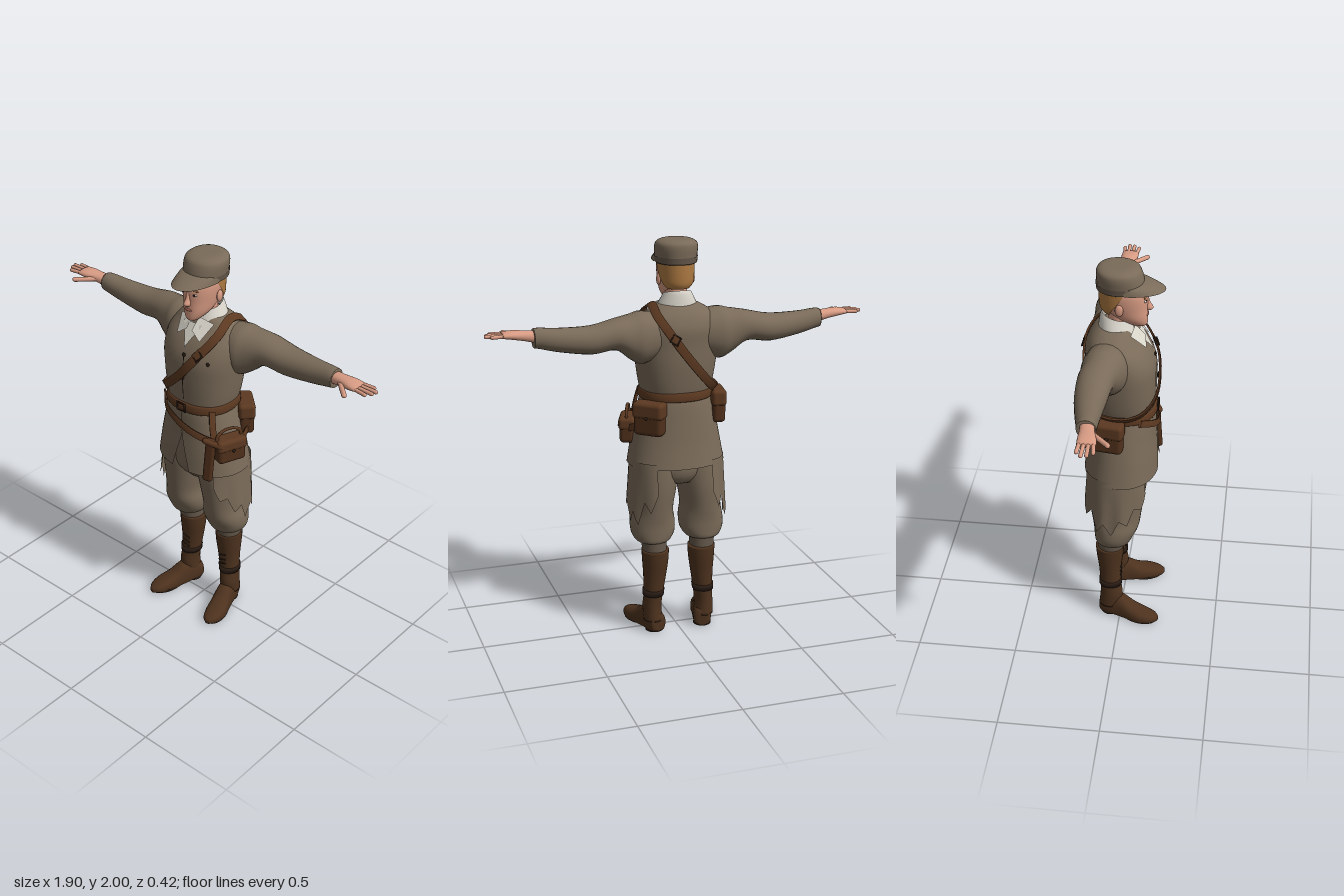
import * as THREE from 'three';
import { RoundedBoxGeometry } from 'three/addons/geometries/RoundedBoxGeometry.js';

const mat = (name, color, side = THREE.FrontSide) =>
  new THREE.MeshStandardMaterial({ name, color, side });

// Smooth loft up y. Sections are [y, x, z, rx, rz]; theta 0 faces the front.
// gap(y) gives the half angle left open at the front.
function loft(sections, { n = 2, seg = 32, sub = 4, gap = null, caps = true } = {}) {
  const rows = [], count = (sections.length - 1) * sub;
  for (let i = 0; i <= count; i++) {
    const k = Math.min(Math.floor(i / sub), sections.length - 2), t = i / sub - k;
    const s = o => sections[Math.max(0, Math.min(sections.length - 1, k + o))];
    rows.push(s(0).map((b, c) => {
      const a = s(-1)[c], d = s(1)[c], e = s(2)[c];
      return b + 0.5 * t * (d - a + t * (2 * a - 5 * b + 4 * d - e + t * (3 * (b - d) + e - a)));
    }));
  }
  const pos = [], idx = [], cols = gap ? seg + 1 : seg;
  const bend = v => Math.sign(v) * Math.abs(v) ** (2 / n);
  for (const [y, x, z, rx, rz] of rows) {
    const g = gap ? gap(y) : 0;
    for (let j = 0; j < cols; j++) {
      const a = g + (j / seg) * (2 * Math.PI - 2 * g);
      pos.push(x + rx * bend(Math.sin(a)), y, z + rz * bend(Math.cos(a)));
    }
  }
  for (let i = 0; i < count; i++) for (let j = 0; j < seg; j++) {
    const a = i * cols + j, b = i * cols + (j + 1) % cols;
    idx.push(a, b, b + cols, a, b + cols, a + cols);
  }
  if (caps && !gap) for (const end of [0, count]) {
    const [y, x, z] = rows[end], c = pos.length / 3;
    pos.push(x, y, z);
    for (let j = 0; j < seg; j++) {
      const a = end * cols + j, b = end * cols + (j + 1) % cols;
      idx.push(...(end ? [a, b, c] : [b, a, c]));
    }
  }
  return build(pos, idx);
}

function build(pos, idx) {
  const g = new THREE.BufferGeometry();
  g.setAttribute('position', new THREE.Float32BufferAttribute(pos, 3));
  g.setIndex(idx);
  g.computeVertexNormals();
  return g;
}

// Sheet from a rule f(u, v) -> [x, y, z]
function sheet(nu, nv, f) {
  const pos = [], idx = [];
  for (let i = 0; i <= nv; i++) for (let j = 0; j <= nu; j++) pos.push(...f(j / nu, i / nv));
  for (let i = 0; i < nv; i++) for (let j = 0; j < nu; j++) {
    const a = i * (nu + 1) + j, b = a + nu + 1;
    idx.push(a, a + 1, b + 1, a, b + 1, b);
  }
  return build(pos, idx);
}

// Flat leather strap along points; its outer face looks away from centre(p)
function strap(points, width, centre, closed = false, thick = 0.01) {
  const curve = new THREE.CatmullRomCurve3(points.map(p => new THREE.Vector3(...p)), closed);
  return sheet(4, 60, (u, v) => {
    const p = curve.getPointAt(v), t = curve.getTangentAt(v);
    const w = new THREE.Vector3().crossVectors(p.clone().sub(centre(p)), t).normalize();
    const out = new THREE.Vector3().crossVectors(t, w);
    const k = Math.round(u * 4) % 4;
    return p.addScaledVector(w, (k === 0 || k === 3 ? -1 : 1) * width / 2)
      .addScaledVector(out, k < 2 ? thick / 2 : -thick / 2).toArray();
  });
}

function mirrored(geo) {
  const g = geo.clone().scale(-1, 1, 1), ix = g.index.array;
  for (let i = 0; i < ix.length; i += 3) [ix[i], ix[i + 1]] = [ix[i + 1], ix[i]];
  return g;
}

// Rounded finger between two points
function finger(a, b, r) {
  const A = new THREE.Vector3(...a), B = new THREE.Vector3(...b), d = B.clone().sub(A);
  const g = new THREE.CapsuleGeometry(r, d.length(), 4, 10);
  g.applyQuaternion(new THREE.Quaternion().setFromUnitVectors(new THREE.Vector3(0, 1, 0), d.normalize()));
  return g.translate(...A.add(B).multiplyScalar(0.5).toArray());
}

export function createModel() {
  const root = new THREE.Group();
  const D = THREE.DoubleSide;
  const cloth = mat('wool cloth', 0x7a6b59, D), trim = mat('dark wool', 0x64574a, D);
  const leather = mat('strap leather', 0x5c3921, D), pouchMat = mat('pouch leather', 0x50301b);
  const bootMat = mat('boot leather', 0x4d321e), dark = mat('dark detail', 0x2b1d15);
  const linen = mat('white linen', 0xd8d4ca, D), skin = mat('skin', 0xd99c84);
  const hairMat = mat('hair', 0xae7a42, D), lipMat = mat('lips', 0xb06c5e);

  const add = (name, geo, m) => {
    const mesh = new THREE.Mesh(geo, m);
    mesh.name = name;
    root.add(mesh);
    return mesh;
  };
  const pair = (name, geo, m) => {
    add(name + 'Left', geo, m);
    add(name + 'Right', mirrored(geo), m);
  };
  const ball = (x, y, z, a, b, c) => new THREE.SphereGeometry(1, 16, 10).scale(a, b, c).translate(x, y, z);

  // Jacket body, and skirt split at the front
  add('jacket', loft([[1.23, 0, .005, .165, .15], [1.3, 0, 0, .182, .16], [1.4, 0, -.005, .197, .168],
    [1.5, 0, -.01, .207, .167], [1.58, 0, -.03, .205, .15], [1.64, 0, -.045, .175, .113],
    [1.68, 0, -.04, .12, .085], [1.7, 0, -.03, .07, .065]], { n: 2.3, seg: 40 }), cloth);
  add('jacketSkirt', loft([[1.25, 0, .005, .165, .15], [1.2, 0, .003, .18, .16], [1.1, 0, 0, .205, .166],
    [1, 0, 0, .225, .175], [.89, 0, -.004, .244, .186]].reverse(),
    { n: 2.2, seg: 44, gap: y => Math.max(.004, (1.08 - y) * 1.0) }), cloth);
  add('jacketFrontSeam', sheet(1, 8, (u, v) => [.006 + u * .005, 1.29 + v * .25,
    .162 + .009 * Math.sin(v * Math.PI) - .006 * v]), dark);
  for (const [x, y, z] of [[.006, 1.53, .154], [.006, 1.41, .167], [.13, 1.51, .126]])
    add('button', ball(x, y, z, .01, .01, .006), dark);

  // Sleeves and hands
  pair('sleeve', loft([[.08, -1.55, -.06, .1, .09], [.19, -1.54, -.065, .128, .11], [.25, -1.548, -.075, .11, .098],
    [.33, -1.57, -.09, .075, .085], [.45, -1.553, -.097, .068, .075], [.6, -1.562, -.09, .057, .058],
    [.69, -1.575, -.082, .05, .048], [.72, -1.577, -.08, .046, .045]], { n: 2.1, seg: 24 }).rotateZ(-Math.PI / 2), cloth);
  pair('palm', loft([[.69, -1.58, -.078, .03, .034], [.76, -1.59, -.07, .024, .035], [.82, -1.596, -.062, .02, .043],
    [.865, -1.597, -.06, .013, .042]], { n: 2.3, seg: 20 }).rotateZ(-Math.PI / 2), skin);
  [[-.095, .915], [-.073, .94], [-.048, .935], [-.022, .915]].forEach(([z, x], i) =>
    pair('finger' + i, finger([.85, 1.598, -.06 + (i - 1.5) * .02], [x, 1.597, z], .0095), skin));
  pair('thumb', finger([.765, 1.588, -.045], [.842, 1.588, .03], .012), skin);

  // Breeches gathered below the knee, stockings
  add('breechesHips', loft([[.8, 0, -.02, .1, .11], [.88, 0, -.012, .2, .15], [1.1, 0, 0, .18, .14]]), cloth);
  pair('breechesLeg', loft([[.485, .13, -.04, .06, .066], [.495, .13, -.037, .088, .088], [.535, .128, -.03, .11, .1],
    [.59, .127, -.02, .112, .114], [.66, .125, -.02, .1, .125], [.76, .119, -.02, .109, .138],
    [.85, .112, -.015, .114, .146], [.93, .11, -.01, .11, .148]], { n: 2.1 }), cloth);
  pair('stocking', loft([[.4, .124, -.052, .06, .064], [.52, .128, -.045, .064, .068]]), trim);

  // Torn cloth hanging over the outer thighs
  const tears = [.82, .74, .75, .66, .69, .59, .66, .6, .72, .67, .76];
  pair('tornPanel', sheet(20, 6, (u, v) => {
    const a = 1.15 - u * 2.5, k = u * 10, i = Math.min(9, Math.floor(k));
    const low = tears[i] + (tears[i + 1] - tears[i]) * (k - i);
    const r = .125 + .012 * v + .005 * Math.sin(u * 22) * v;
    return [.112 + r * Math.cos(a), .92 + (low - .92) * v, -.018 + (r + .025) * Math.sin(a)];
  }), cloth);

  // Boots with feet turned outward
  pair('bootShaft', loft([[.06, .135, -.055, .048, .055], [.13, .138, -.045, .047, .058], [.2, .132, -.05, .049, .054],
    [.3, .125, -.053, .058, .058], [.38, .122, -.054, .066, .068], [.44, .122, -.054, .069, .073]], { seg: 24 }), bootMat);
  const foot = loft([[-.055, 0, -.04, .022, .035], [-.045, 0, -.045, .042, .05], [0, 0, -.04, .046, .075],
    [.06, 0, -.035, .046, .085], [.12, .002, -.025, .051, .058], [.18, .004, -.022, .053, .04],
    [.235, 0, -.02, .038, .025], [.262, -.004, -.018, .012, .012]], { n: 2.4, seg: 24 }).rotateX(Math.PI / 2);
  const fp = foot.attributes.position;
  for (let i = 0; i < fp.count; i++) fp.setY(i, Math.max(.008, fp.getY(i)));
  foot.computeVertexNormals();
  const place = g => g.rotateY(.27).translate(.13, 0, -.05);
  pair('foot', place(foot), bootMat);
  pair('heel', place(new THREE.CylinderGeometry(.043, .045, .03, 16).translate(0, .015, -.005)), dark);
  pair('sole', place(new THREE.CylinderGeometry(1, 1, .014, 24).scale(.052, 1, .09).translate(.002, .008, .16)), dark);
  pair('ankleStrap', loft([[.195, .133, -.05, .054, .06], [.225, .131, -.05, .056, .06]], { seg: 20, sub: 1 }), dark);
  for (const y of [.245, .27, .3])
    pair('bootLace', finger([.105, y, .004], [.145, y + .012, .004], .004), dark);

  // Neck, head and face
  add('neck', new THREE.CylinderGeometry(.052, .06, .2, 20).translate(0, 1.69, -.015), skin);
  add('head', loft([[1.69, 0, .078, .018, .024], [1.703, 0, .07, .036, .045], [1.74, 0, .038, .063, .079],
    [1.79, 0, .014, .077, .102], [1.84, 0, .005, .085, .112], [1.88, 0, 0, .086, .11],
    [1.93, 0, -.012, .078, .09]], { n: 2.1 }), skin);
  add('nose', loft([[1.775, 0, .118, .012, .015], [1.788, 0, .118, .016, .024], [1.81, 0, .115, .011, .014],
    [1.845, 0, .11, .008, .007]], { seg: 14 }), skin);
  add('lips', ball(0, 1.752, .114, .022, .006, .007), lipMat);
  pair('ear', ball(.086, 1.805, -.01, .01, .03, .02), skin);
  pair('eye', ball(.034, 1.835, .107, .014, .006, .006), linen);
  pair('iris', ball(.034, 1.835, .111, .006, .006, .004), dark);
  pair('eyebrow', ball(.036, 1.856, .106, .02, .004, .005), hairMat);
  add('hair', loft([[1.765, 0, -.035, .06, .062], [1.79, 0, -.015, .083, .095], [1.84, 0, -.005, .09, .11],
    [1.91, 0, -.008, .091, .109]], { gap: y => 1.95 - Math.max(0, y - 1.79) * 5.5 }), hairMat);

  // Cap with band and visor
  add('cap', loft([[1.885, 0, -.01, .096, .112], [1.92, 0, -.012, .1, .112], [1.96, 0, -.018, .103, .108],
    [1.985, 0, -.022, .095, .098], [1.998, 0, -.025, .065, .07], [2, 0, -.025, .02, .025]], { n: 2.15 }), cloth);
  add('capBand', loft([[1.888, 0, -.011, .1, .115], [1.918, 0, -.013, .103, .115]], { n: 2.15, sub: 1, caps: false }), trim);
  add('visor', sheet(24, 4, (u, v) => {
    const a = (u - .5) * Math.PI, s = Math.sin(a), c = Math.cos(a);
    return [(.097 + .004 * v) * s, 1.922 - .035 * v + .006 * Math.sin(v * Math.PI) + .006 * c * (1 - v),
      -.01 + .104 * c + v * (.025 + .08 * c)];
  }), cloth);

  // Shirt collar, wings and shirt front
  const collar = loft([[1.625, 0, -.02, .112, .1], [1.67, 0, -.025, .1, .09], [1.715, 0, -.03, .077, .078],
    [1.735, 0, -.03, .067, .07]], { gap: () => .22 });
  const cp = collar.attributes.position;
  for (let i = 0; i < cp.count; i++) cp.setY(i, cp.getY(i) - .25 * cp.getZ(i));
  collar.computeVertexNormals();
  add('collar', collar, linen);
  pair('collarWing', build([.02, 1.7, .06, .015, 1.645, .108, .07, 1.605, .118, .1, 1.68, .045],
    [0, 1, 2, 0, 2, 3]), linen);
  add('shirtFront', build([-.055, 1.67, .078, 0, 1.565, .145, .055, 1.67, .078], [0, 1, 2]), linen);

  // Waist belt, buckle and slung straps
  const level = p => new THREE.Vector3(0, p.y, 0), chest = () => new THREE.Vector3(0, 1.42, -.01);
  add('waistBelt', loft([[1.222, 0, .005, .176, .16], [1.23, 0, .005, .182, .166], [1.262, 0, .005, .18, .163],
    [1.27, 0, .005, .172, .156]], { n: 2.25, seg: 40, sub: 2 }), leather);
  const frame = new THREE.TorusGeometry(.028, .005, 6, 4).rotateZ(Math.PI / 4);
  add('beltBuckle', frame.clone().scale(1.2, 1, 1).translate(0, 1.246, .172), dark);
  add('shoulderStrap', strap([[.13, 1.69, -.04], [.14, 1.64, .07], [.075, 1.53, .156], [0, 1.43, .178], [-.09, 1.34, .165],
    [-.163, 1.28, .1], [-.195, 1.265, 0], [-.165, 1.275, -.11], [-.1, 1.34, -.167], [0, 1.46, -.192],
    [.08, 1.57, -.187], [.13, 1.655, -.128]], .042, chest, true), leather);
  add('strapBuckle', frame.clone().rotateZ(-.6).rotateX(-.5).translate(.085, 1.55, .15), dark);
  add('strapBuckleBack', frame.clone().rotateZ(.6).rotateX(.3).translate(.06, 1.545, -.198), dark);
  add('holsterStrap', strap([[-.168, 1.235, .1], [-.1, 1.2, .16], [0, 1.155, .178], [.1, 1.12, .166],
    [.195, 1.085, .11], [.235, 1.07, .02], [.215, 1.1, -.08]], .034, level), leather);
  add('hangerStrap', strap([[.15, 1.25, .115], [.165, 1.18, .13], [.18, 1.1, .135]], .03, level), leather);

  // Pouches with overlapping flaps
  const pouch = (name, [x, y, z], [w, h, d], turn, tilt = 0) => {
    const g = new THREE.Group();
    g.name = name;
    const part = (n, geo, m, py, pz) => {
      const mesh = new THREE.Mesh(geo, m);
      mesh.name = n;
      mesh.position.set(0, py, pz);
      g.add(mesh);
    };
    part('pouchBody', new RoundedBoxGeometry(w, h, d, 3, .022), pouchMat, 0, 0);
    part('pouchFlap', new RoundedBoxGeometry(w + .01, h * .5, d + .01, 3, .02), leather, h * .26, 0);
    part('pouchStud', new THREE.SphereGeometry(.008, 10, 8), dark, h * .06, d / 2 + .006);
    g.position.set(x, y, z);
    g.rotation.set(0, turn, tilt);
    root.add(g);
  };
  pouch('rightHipPouch', [-.202, 1.172, -.05], [.145, .165, .065], -Math.PI / 2 - .15);
  pouch('backPouch', [.165, 1.145, -.115], [.15, .165, .075], 2.4);
  pouch('leftHipPouch', [.222, 1.055, .07], [.15, .13, .075], 1.2);
  add('pouchLoop', new THREE.TorusGeometry(.055, .008, 8, 20).scale(1.2, .8, 1)
    .rotateY(1.2).translate(.222, 1.125, .075), leather);

  // Sheath hanging in front of the left thigh
  const sheath = add('sheath', new RoundedBoxGeometry(.05, .24, .03, 3, .014), pouchMat);
  sheath.position.set(.168, 1.005, .158);
  sheath.rotation.set(-.06, .3, -.04);
  const grip = add('sheathGrip', finger([.15, 1.115, .165], [.225, 1.1, .14], .016), leather);
  grip.position.y = -.005;
  return root;
}
